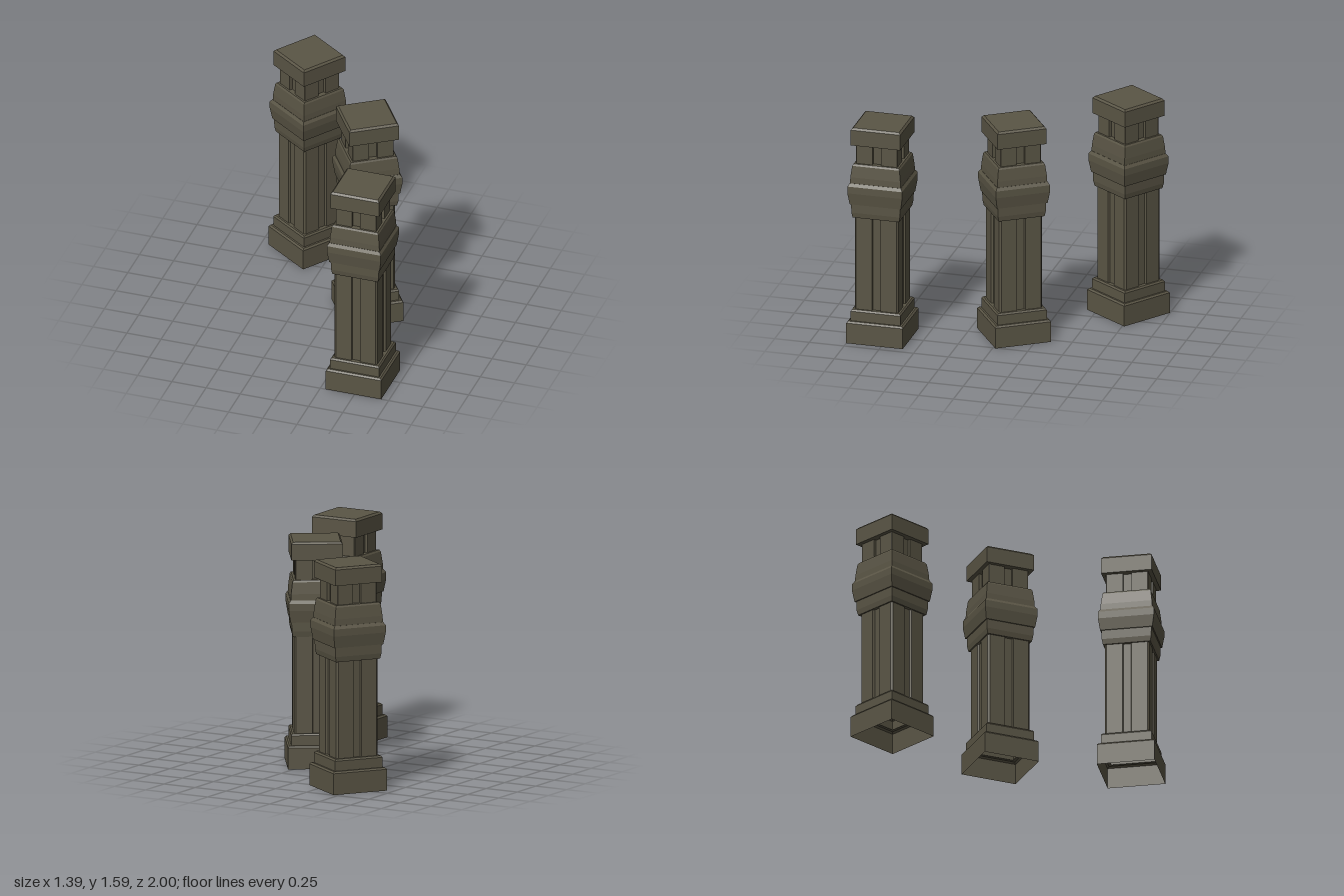
import * as THREE from 'three';

const stone = new THREE.MeshStandardMaterial({ color: 0x5a5545, side: THREE.DoubleSide });
stone.name = 'darkStone';

// Square moulding from a profile of [half width, height] pairs, listed bottom to top
function course(name, profile) {
  const points = profile.map(([h, y]) => new THREE.Vector2(h * Math.SQRT2, y));
  const geo = new THREE.LatheGeometry(points, 4, Math.PI / 4).toNonIndexed();
  geo.computeVertexNormals();
  const mesh = new THREE.Mesh(geo, stone);
  mesh.name = name;
  return mesh;
}

// Open square tube with a groove in the middle of each face and cut corners
function groovedTube(name, half, y0, y1, bevel, groove, depth, slope) {
  const side = [
    [half, half - bevel], [half, groove],
    [half - depth, groove - slope], [half - depth, -groove + slope],
    [half, -groove], [half, -half + bevel],
  ];
  const loop = [];
  for (let i = 0; i < 4; i++) {
    const c = Math.round(Math.cos(i * Math.PI / 2)), s = Math.round(Math.sin(i * Math.PI / 2));
    for (const [x, z] of side) loop.push([x * c + z * s, z * c - x * s]);
  }
  const pos = [];
  loop.forEach(([ax, az], i) => {
    const [bx, bz] = loop[(i + 1) % loop.length];
    pos.push(ax, y0, az, bx, y0, bz, bx, y1, bz, ax, y0, az, bx, y1, bz, ax, y1, az);
  });
  const geo = new THREE.BufferGeometry();
  geo.setAttribute('position', new THREE.Float32BufferAttribute(pos, 3));
  geo.computeVertexNormals();
  const mesh = new THREE.Mesh(geo, stone);
  mesh.name = name;
  return mesh;
}

function pillar(name, x, z, angle) {
  const g = new THREE.Group();
  g.name = name;
  g.add(
    // hollow base, open underneath
    course('base', [[0.203, 0], [0.203, 0.15], [0.192, 0.162], [0.17, 0.162]]),
    course('plinth', [[0.179, 0.162], [0.179, 0.232], [0.17, 0.244], [0.14, 0.244]]),
    groovedTube('shaft', 0.157, 0.244, 0.927, 0.012, 0.032, 0.014, 0.006),
    // swelling capital in three courses
    course('collar', [[0.14, 0.927], [0.167, 0.927], [0.174, 0.965], [0.176, 1.03]]),
    course('lowerBulge', [[0.165, 1.03], [0.184, 1.03], [0.197, 1.115], [0.197, 1.165], [0.184, 1.186], [0.16, 1.186]]),
    course('upperBulge', [[0.16, 1.186], [0.182, 1.186], [0.18, 1.23], [0.17, 1.312], [0.162, 1.325], [0.11, 1.325]]),
    groovedTube('neck', 0.148, 1.325, 1.467, 0.003, 0.03, 0.022, 0),
    course('cap', [[0.11, 1.467], [0.178, 1.467], [0.178, 1.58], [0.165, 1.594], [0, 1.594]]),
  );
  g.position.set(x, 0, z);
  g.rotation.y = THREE.MathUtils.degToRad(angle);
  return g;
}

export function createModel() {
  const model = new THREE.Group();
  model.name = 'stonePillars';
  model.add(
    pillar('frontPillar', 0.493, 0.797, 0),
    pillar('middlePillar', 0.228, -0.075, 34),
    pillar('backPillar', -0.415, -0.715, -35),
  );
  return model;
}
